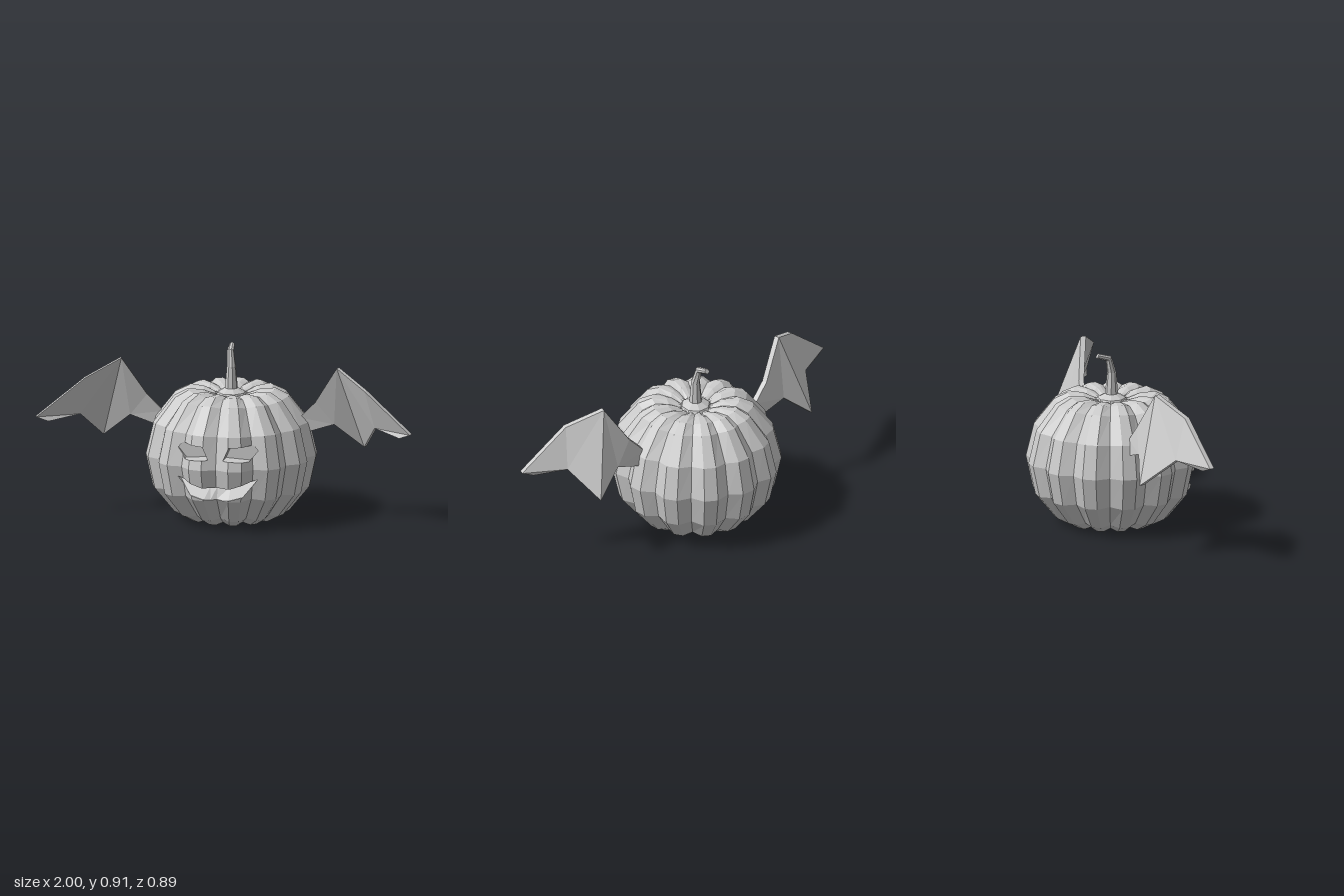
import * as THREE from 'three';

const V = (x, y, z) => new THREE.Vector3(x, y, z);
const material = new THREE.MeshStandardMaterial({ color: 0xcccccc, flatShading: true });

// Mesh from a list of convex polygons (arrays of Vector3, counter-clockwise)
function polyMesh(name, polys) {
  const pos = [];
  for (const p of polys) {
    for (let i = 1; i < p.length - 1; i++) {
      for (const v of [p[0], p[i], p[i + 1]]) pos.push(v.x, v.y, v.z);
    }
  }
  const g = new THREE.BufferGeometry();
  g.setAttribute('position', new THREE.Float32BufferAttribute(pos, 3));
  g.computeVertexNormals();
  const mesh = new THREE.Mesh(g, material);
  mesh.name = name;
  return mesh;
}

// Quads between successive rings of equal length
function loft(rings) {
  const polys = [];
  for (let j = 0; j < rings.length - 1; j++) {
    const n = rings[j].length;
    for (let i = 0; i < n; i++) {
      const k = (i + 1) % n;
      const [a, b, c, d] = [rings[j][i], rings[j][k], rings[j + 1][k], rings[j + 1][i]];
      polys.push([a, b, c], [a, c, d]);
    }
  }
  return polys;
}

// Signed side of v against line p-q in the xy plane (positive = left)
const side = (v, p, q) =>
  ((q[0] - p[0]) * (v.y - p[1]) - (q[1] - p[1]) * (v.x - p[0])) / Math.hypot(q[0] - p[0], q[1] - p[1]);

// Split a polygon by a line into its left and right parts
function split(poly, p, q) {
  const left = [], right = [];
  poly.forEach((a, i) => {
    const b = poly[(i + 1) % poly.length];
    const da = side(a, p, q), db = side(b, p, q);
    if (da >= -1e-7) left.push(a);
    if (da <= 1e-7) right.push(a);
    if ((da > 1e-7 && db < -1e-7) || (da < -1e-7 && db > 1e-7)) {
      const m = a.clone().lerp(b, da / (da - db));
      left.push(m);
      right.push(m);
    }
  });
  return [left, right];
}

// Press a convex outline into the front of the shell, with walls and a floor
function carve(polys, outline, floorZ) {
  const out = [];
  const edges = outline.map((p, i) => [p, outline[(i + 1) % outline.length]]);
  for (const poly of polys) {
    if (poly.some((v) => v.z < 0.2)) {
      out.push(poly);
      continue;
    }
    const outside = [];
    let rest = poly;
    for (const [p, q] of edges) {
      const [l, r] = split(rest, p, q);
      if (r.length > 2) outside.push(r);
      rest = l;
      if (rest.length < 3) break;
    }
    if (rest.length < 3) {
      out.push(poly);
      continue;
    }
    out.push(...outside);
    const sink = (v) => V(v.x, v.y, Math.min(v.z, floorZ(v.y)));
    out.push(rest.map(sink));
    rest.forEach((a, i) => {
      const b = rest[(i + 1) % rest.length];
      // vertical edges are seams between neighbouring cuts and stay open
      const onRim = edges.some(([p, q]) => Math.abs(p[0] - q[0]) > 1e-6 &&
        Math.abs(side(a, p, q)) < 1e-6 && Math.abs(side(b, p, q)) < 1e-6);
      if (onRim) out.push([a, b, sink(b), sink(a)]);
    });
  }
  return out;
}

const mirrored = (outline) => outline.map(([x, y]) => [-x, y]).reverse();

// Ribbed body: 13 lobes of three segments, each third one a valley
function makeBody() {
  const profile = [[0, 0.07], [0.1, 0.06], [0.16, 0.02], [0.23, 0], [0.305, 0.04], [0.41, 0.17], [0.447, 0.34],
    [0.405, 0.515], [0.3, 0.65], [0.23, 0.685], [0.15, 0.68], [0.09, 0.658], [0, 0.65]];
  const rings = profile.map(([r, y]) => Array.from({ length: 39 }, (_, i) => {
    const a = (i / 39) * Math.PI * 2;
    const valley = i % 3 === 0;
    const rr = valley ? r * 0.915 : r;
    return V(rr * Math.sin(a), valley ? y + (0.34 - y) * 0.04 : y, rr * Math.cos(a));
  }));
  let polys = loft(rings);

  // Eyes
  const eye = [[0.04, 0.392], [0.17, 0.385], [0.212, 0.438], [0.19, 0.465], [0.07, 0.46]];
  for (const e of [eye, mirrored(eye)]) polys = carve(polys, e, () => 0.33);

  // Smiling mouth in three convex pieces
  const smile = [[0.075, 0.178], [0.14, 0.195], [0.212, 0.285], [0.075, 0.242]];
  const middle = [[-0.075, 0.178], [0, 0.17], [0.075, 0.178], [0.075, 0.242], [-0.075, 0.242]];
  for (const m of [smile, middle, mirrored(smile)]) {
    polys = carve(polys, m, (y) => 0.395 - 0.8 * (y - 0.18));
  }
  return polyMesh('pumpkinBody', polys);
}

// Stem: flared foot, tapering shaft, tip bent to the back
function makeStem() {
  const sections = [ // x, y, z, radius, backward tilt
    [0, 0.645, 0, 0.085, 0], [0, 0.664, 0, 0.075, 0], [0, 0.685, 0, 0.034, 0], [0, 0.8, 0.001, 0.024, 0],
    [-0.008, 0.878, -0.018, 0.018, 0.7], [-0.012, 0.898, -0.082, 0.014, 1.1], [-0.012, 0.898, -0.082, 0, 1.1]];
  const rings = sections.map(([x, y, z, r, t]) => Array.from({ length: 8 }, (_, i) => {
    const a = ((i + 0.5) / 8) * Math.PI * 2;
    return V(r * Math.sin(a), 0, r * Math.cos(a)).applyAxisAngle(V(1, 0, 0), -t).add(V(x, y, z));
  }));
  return polyMesh('stem', loft(rings));
}

// Bat wing: folded two-panel outline with thickness
function makeWing(name, sx) {
  const back = [
    V(0.37, 0.54, -0.035), V(0.455, 0.63, -0.02), V(0.58, 0.83, 0.035), V(0.75, 0.74, 0.14), V(1, 0.53, 0.19),
    V(0.94, 0.505, 0.17), V(0.79, 0.53, 0.075), V(0.7, 0.385, -0.092), V(0.55, 0.51, -0.045), V(0.37, 0.45, -0.045)];
  const front = back.map((v) => v.clone().add(V(-0.008, 0, 0.026)));
  const tris = [[8, 9, 0], [8, 0, 1], [8, 1, 2], [8, 2, 7], [6, 7, 2], [6, 2, 3], [6, 3, 4], [6, 4, 5]];
  const polys = [];
  for (const t of tris) {
    polys.push(t.map((i) => back[i]), t.map((i) => front[i]).reverse());
  }
  back.forEach((v, i) => {
    const j = (i + 1) % back.length;
    polys.push([v, front[i], front[j], back[j]]);
  });
  const flip = (p) => p.map((v) => V(-v.x, v.y, v.z)).reverse();
  return polyMesh(name, sx < 0 ? polys.map(flip) : polys);
}

export function createModel() {
  const group = new THREE.Group();
  group.name = 'wingedPumpkin';
  group.add(makeBody(), makeStem(), makeWing('leftWing', 1), makeWing('rightWing', -1));
  return group;
}
